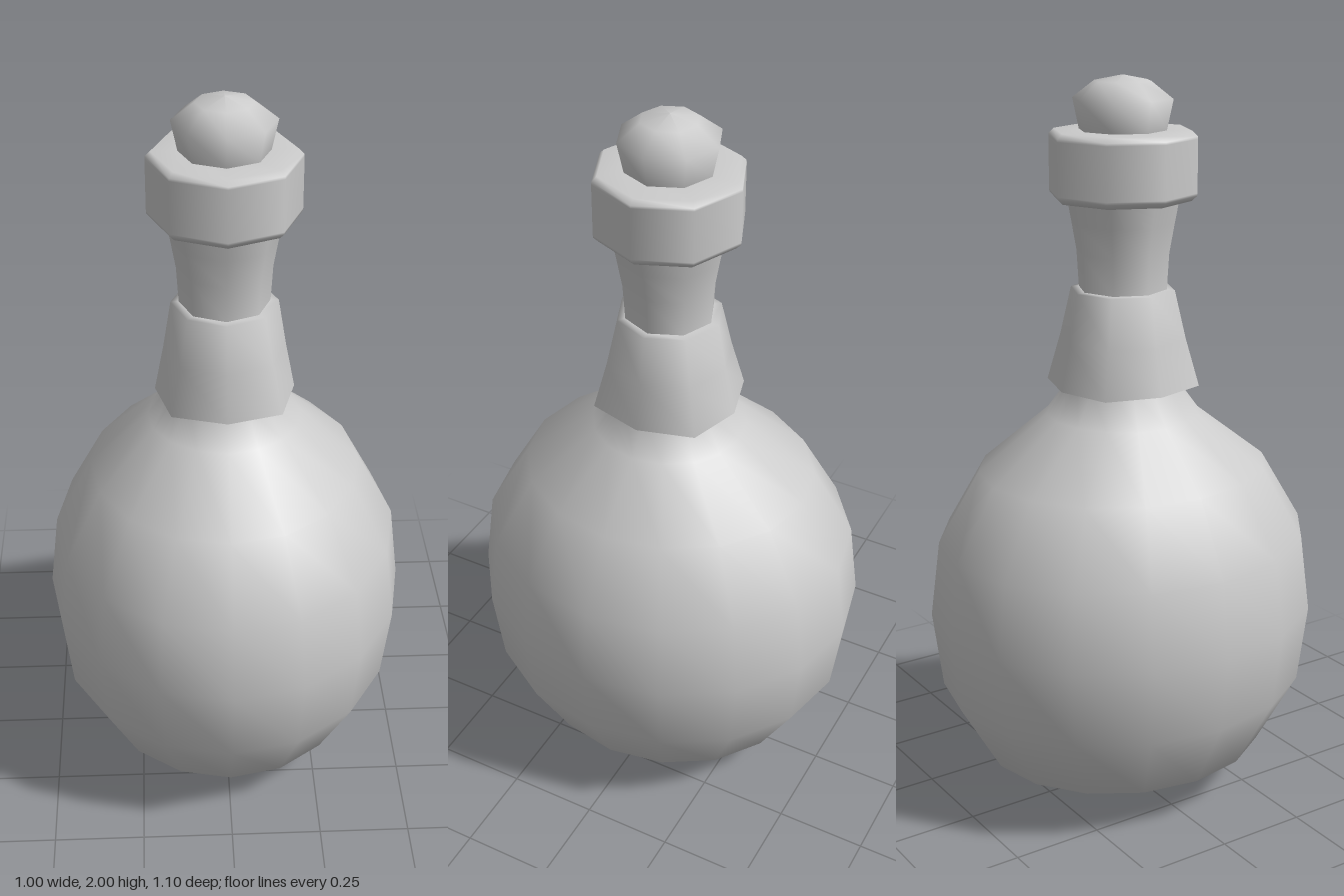
import * as THREE from 'three';
import { mergeVertices } from 'three/addons/utils/BufferGeometryUtils.js';

const material = new THREE.MeshStandardMaterial({ color: 0xcccccc });
const thinMaterial = new THREE.MeshStandardMaterial({ color: 0xcccccc, side: THREE.DoubleSide });

// Turns a [radius, height] profile (bottom to top); warp may move each vertex
function turned(name, profile, sides, warp, mat = material) {
  const points = profile.map(([r, y]) => new THREE.Vector2(r, y));
  let geometry = new THREE.LatheGeometry(points, sides);
  if (warp) {
    const pos = geometry.attributes.position;
    const v = new THREE.Vector3();
    for (let i = 0; i < pos.count; i++) {
      warp(v.fromBufferAttribute(pos, i));
      pos.setXYZ(i, v.x, v.y, v.z);
    }
    geometry.deleteAttribute('uv');
    geometry.deleteAttribute('normal');
    geometry = mergeVertices(geometry, 1e-5);
    geometry.computeVertexNormals();
  }
  const mesh = new THREE.Mesh(geometry, mat);
  mesh.name = name;
  return mesh;
}

export function createModel() {
  const group = new THREE.Group();
  group.name = 'bottle';

  // Round belly, slightly deeper than wide, becoming circular at the shoulder
  group.add(turned('body', [
    [0, 0], [0.2, 0.035], [0.37, 0.13], [0.475, 0.33], [0.5, 0.545],
    [0.475, 0.755], [0.37, 0.95], [0.21, 1.1], [0.145, 1.19], [0.125, 1.3],
  ], 16, (v) => {
    v.z *= 1 + 0.1 * THREE.MathUtils.clamp((1.1 - v.y) / 0.15, 0, 1);
  }));

  // Eight-sided neck flaring up to the lip
  group.add(turned('neck', [
    [0.125, 1.25], [0.12, 1.44], [0.126, 1.54], [0.14, 1.62], [0.155, 1.7],
  ], 8));

  // Open flared collar, its diagonal corners spread a little wider at the hem
  group.add(turned('collar', [
    [0.188, 1.18], [0.163, 1.31], [0.142, 1.44], [0.118, 1.442],
  ], 8, (v) => {
    const hem = THREE.MathUtils.clamp((1.44 - v.y) / 0.26, 0, 1);
    const diagonal = Math.min(Math.abs(v.x), Math.abs(v.z)) > 0.01;
    const spread = 1 + (diagonal ? 0.1 : 0) * hem;
    v.x *= spread;
    v.z *= spread * (1 + 0.03 * hem);
  }, thinMaterial));

  // Thick lip with softened edges
  group.add(turned('lip', [
    [0.12, 1.68], [0.185, 1.68], [0.198, 1.693], [0.199, 1.7],
    [0.199, 1.84], [0.198, 1.847], [0.185, 1.86], [0.11, 1.86],
  ], 8));

  // Domed stopper
  group.add(turned('stopper', [
    [0.11, 1.82], [0.117, 1.86], [0.134, 1.94], [0.075, 1.985], [0, 2],
  ], 8));

  return group;
}
